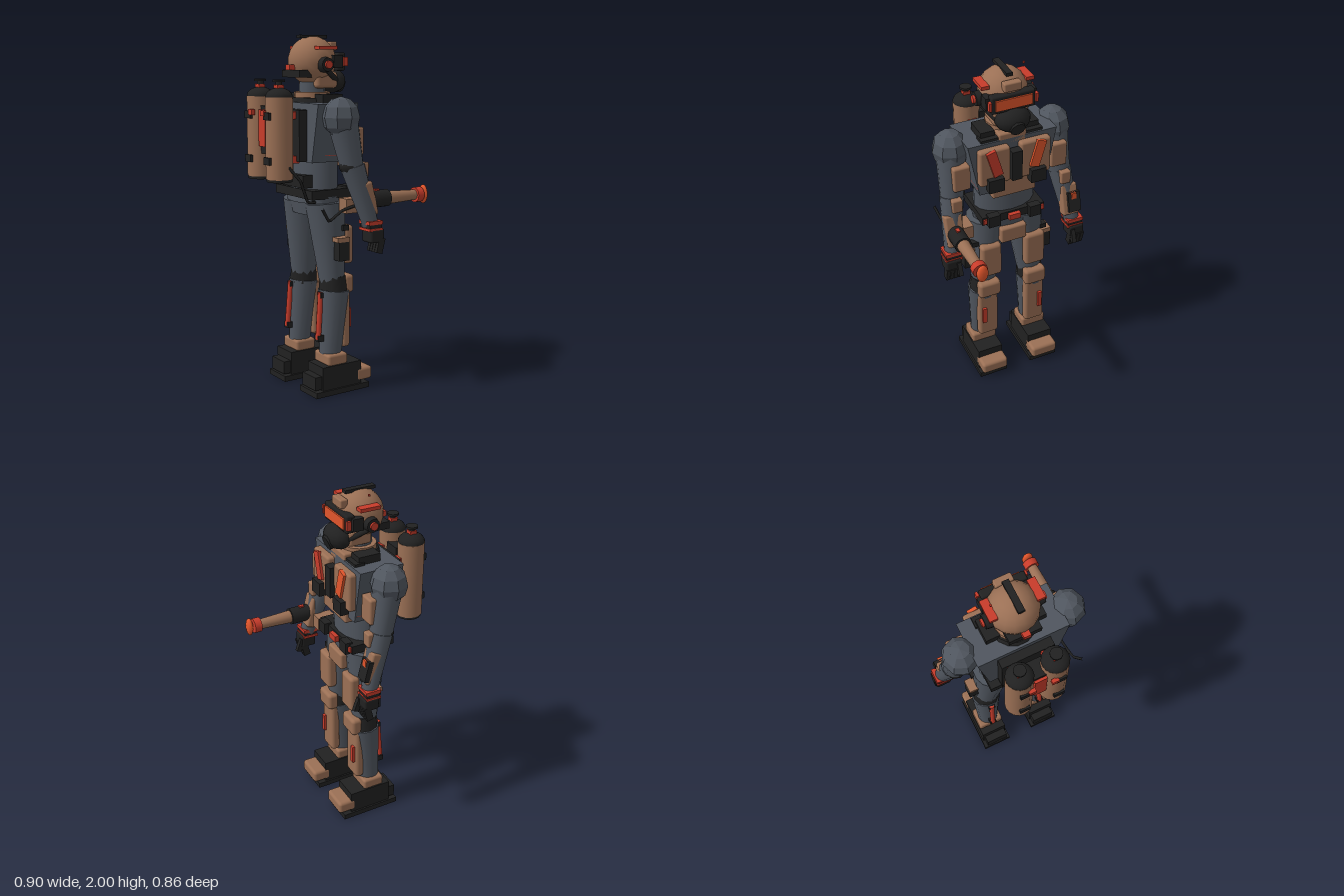
import * as THREE from 'three';
import { RoundedBoxGeometry } from 'three/addons/geometries/RoundedBoxGeometry.js';

const mat = (name, color) => new THREE.MeshStandardMaterial({ name, color });

export function createModel() {
  const root = new THREE.Group();
  root.name = 'armouredSuit';
  const brown = mat('tan armour', 0x9b7055), slate = mat('slate cloth', 0x50565f),
    black = mat('black rubber', 0x212121), red = mat('red trim', 0xc83c2b),
    orange = mat('orange glow', 0xe2552b);
  const V = (x, y, z) => new THREE.Vector3(x, y, z);

  const add = (name, geo, m, pos) => {
    const o = new THREE.Mesh(geo, m);
    o.name = name;
    if (pos) o.position.copy(pos);
    root.add(o);
    return o;
  };
  // Box from its limits; r rounds the edges
  const box = (name, m, x0, x1, y0, y1, z0, z1, r = 0) => {
    const s = [x1 - x0, y1 - y0, Math.abs(z1 - z0)];
    const g = r ? new RoundedBoxGeometry(...s, 2, r) : new THREE.BoxGeometry(...s);
    return add(name, g, m, V((x0 + x1) / 2, (y0 + y1) / 2, (z0 + z1) / 2));
  };
  // Tapered rod between two points
  const rod = (name, m, a, b, ra, rb, n = 12) => {
    const d = b.clone().sub(a);
    const o = add(name, new THREE.CylinderGeometry(rb, ra, d.length(), n), m, a.clone().add(b).multiplyScalar(0.5));
    o.quaternion.setFromUnitVectors(V(0, 1, 0), d.normalize());
    return o;
  };
  const ball = (name, m, p, sx, sy, sz, n = 16, flat = false) => {
    let g = new THREE.SphereGeometry(1, n, Math.max(6, n * 0.7 | 0));
    g.scale(sx, sy, sz);
    if (flat) { g = g.toNonIndexed(); g.computeVertexNormals(); }
    return add(name, g, m, p);
  };
  const hose = (name, m, pts, r) =>
    add(name, new THREE.TubeGeometry(new THREE.CatmullRomCurve3(pts, false, 'catmullrom', 0.15), 20, r, 6), m);

  // Torso: a box narrowed towards the waist
  const tg = new THREE.BoxGeometry(0.26, 0.32, 0.52);
  const tp = tg.attributes.position;
  for (let i = 0; i < tp.count; i++) if (tp.getY(i) < 0) tp.setZ(i, tp.getZ(i) * 0.76);
  tg.computeVertexNormals();
  add('torso', tg, slate, V(-0.09, 1.475, 0));
  const waist = rod('waist', slate, V(-0.09, 1.08, 0), V(-0.09, 1.34, 0), 0.18, 0.18, 16);
  waist.scale.x = 0.68;
  const pelvis = rod('pelvis', slate, V(-0.08, 1.01, 0), V(-0.08, 1.12, 0), 0.17, 0.2, 16);
  pelvis.scale.x = 0.62;
  box('belt', black, -0.215, 0.05, 1.11, 1.16, -0.19, 0.19);
  box('buckle', red, 0.05, 0.075, 1.115, 1.15, -0.035, 0.035);
  box('groinPlate', brown, 0.0, 0.06, 0.95, 1.05, -0.08, 0.08, 0.012);
  box('bellyPlate', brown, 0.0, 0.06, 1.28, 1.42, -0.13, 0.13, 0.01);
  box('chestStrip', black, 0.05, 0.1, 1.4, 1.58, -0.03, 0.03);
  box('collarFront', brown, -0.03, 0.04, 1.6, 1.67, -0.08, 0.08, 0.01);

  // Head, neck and mask
  rod('neck', slate, V(-0.09, 1.6, 0), V(-0.09, 1.75, 0), 0.08, 0.07);
  rod('collar', black, V(-0.09, 1.62, 0), V(-0.09, 1.66, 0), 0.125, 0.11, 14);
  rod('neckRing', brown, V(-0.09, 1.66, 0), V(-0.09, 1.69, 0), 0.1, 0.1, 14);
  ball('helmet', brown, V(-0.09, 1.86, 0), 0.135, 0.135, 0.135, 16);
  box('helmetCrest', black, -0.18, 0, 1.982, 2.0, -0.018, 0.018);
  box('jaw', brown, -0.12, 0.02, 1.71, 1.8, -0.1, 0.1, 0.02);
  box('visorFrame', black, 0.0, 0.05, 1.805, 1.905, -0.125, 0.125, 0.01);
  box('visor', orange, 0.05, 0.059, 1.825, 1.885, -0.105, 0.105);
  box('browLamp', brown, 0.0, 0.045, 1.915, 1.965, -0.05, 0.05, 0.008);
  ball('mask', black, V(0.035, 1.75, 0), 0.075, 0.07, 0.1, 14);
  rod('maskFilter', black, V(0.05, 1.74, 0), V(0.105, 1.72, 0), 0.05, 0.042, 10);
  box('nape', black, -0.23, -0.15, 1.77, 1.81, -0.09, 0.09);
  box('napeClip', red, -0.25, -0.215, 1.81, 1.84, -0.02, 0.02);
  box('headAerial', red, -0.09, -0.08, 1.99, 2.0, -0.123, -0.113);

  // Backpack frame between the tanks
  box('backpack', black, -0.27, -0.2, 1.32, 1.6, -0.15, 0.15);
  box('tankBridge', black, -0.4, -0.3, 1.36, 1.62, -0.05, 0.05);
  box('bridgeStripe', red, -0.415, -0.4, 1.4, 1.6, -0.035, 0.035);
  box('lumbarBar', red, -0.235, -0.14, 1.345, 1.37, -0.14, 0.14);
  box('lumbarPack', black, -0.235, -0.17, 1.17, 1.24, -0.13, 0.13);

  for (const s of [1, -1]) {
    const P = (x, y, z) => V(x, y, z * s);
    const B = (n, m, x0, x1, y0, y1, z0, z1, r) => box(n, m, x0, x1, y0, y1, z0 * s, z1 * s, r);

    // Chest plates, straps and pouches
    B('chestPlate', brown, 0.02, 0.08, 1.39, 1.61, 0.03, 0.21, 0.015);
    const strap = B('chestStrap', s > 0 ? red : orange, 0.075, 0.095, 1.45, 1.61, 0.1, 0.155);
    strap.rotation.x = 0.28 * s;
    B('chestPouch', black, 0.06, 0.11, 1.36, 1.44, 0.08, 0.17);
    B('shoulderBuckle', black, -0.03, 0.03, 1.61, 1.65, 0.08, 0.18);
    B('collarPad', black, -0.13, 0.0, 1.62, 1.68, 0.09, 0.17);
    B('ribTrim', red, -0.16, 0.02, 1.325, 1.34, 0.12, 0.195);
    B('ribTrim', red, -0.14, 0.03, 1.35, 1.36, 0.12, 0.205);
    B('beltPouch', black, 0.03, 0.075, 1.1, 1.17, 0.09, 0.16);
    B('beltClip', red, 0.04, 0.06, 1.12, 1.15, 0.165, 0.185);

    // Headset
    rod('earCup', black, P(-0.09, 1.84, 0.11), P(-0.09, 1.84, 0.162), 0.045, 0.038);
    rod('earCap', red, P(-0.09, 1.84, 0.16), P(-0.09, 1.84, 0.175), 0.022, 0.022, 10);
    B('headRail', red, -0.14, -0.02, 1.92, 1.94, 0.105, 0.15);
    B('templeBlock', black, -0.04, 0.02, 1.82, 1.89, 0.1, 0.145);
    rod('jawStrap', black, P(-0.09, 1.82, 0.14), P(0.02, 1.75, 0.08), 0.016, 0.016, 6);
    B('visorHinge', red, 0.03, 0.055, 1.83, 1.88, 0.125, 0.14);

    // Air tank
    rod('tank', brown, P(-0.365, 1.23, 0.1), P(-0.365, 1.67, 0.1), 0.075, 0.075, 16);
    rod('tankFoot', black, P(-0.365, 1.215, 0.1), P(-0.365, 1.23, 0.1), 0.07, 0.072, 16);
    ball('tankDome', black, P(-0.365, 1.67, 0.1), 0.075, 0.05, 0.075, 16);
    rod('tankValve', black, P(-0.365, 1.7, 0.1), P(-0.365, 1.76, 0.1), 0.018, 0.018, 8);
    rod('valveWheel', black, P(-0.365, 1.75, 0.1), P(-0.365, 1.762, 0.1), 0.034, 0.034, 10);
    B('valveTag', red, -0.385, -0.345, 1.715, 1.735, 0.08, 0.12);
    for (const y of [1.31, 1.55]) {
      B('tankClamp', red, -0.3, -0.25, y, y + 0.04, 0.07, 0.12);
      B('tankLatch', black, -0.448, -0.43, y, y + 0.04, 0.07, 0.13);
    }
    B('tankTab', red, -0.452, -0.43, 1.57, 1.6, 0.045, 0.085);

    // Arm
    ball('shoulder', slate, P(-0.105, 1.565, 0.305), 0.105, 0.11, 0.102, 8, true);
    rod('upperArm', slate, P(-0.095, 1.55, 0.305), P(-0.045, 1.28, 0.33), 0.085, 0.063);
    B('upperArmPlate', brown, -0.04, 0.025, 1.36, 1.51, 0.24, 0.34, 0.012);
    ball('elbow', black, P(-0.06, 1.3, 0.328), 0.062, 0.045, 0.062, 10);
    rod('forearm', slate, P(-0.045, 1.3, 0.33), P(0.045, 0.98, 0.375), 0.068, 0.045);
    const guard = B('forearmPlate', brown, 0.0, 0.06, 1.03, 1.22, 0.305, 0.405, 0.012);
    guard.rotation.z = 0.25;
    B('elbowPlate', brown, -0.02, 0.045, 1.24, 1.32, 0.3, 0.36, 0.008);
    B('wristBand', red, 0.0, 0.09, 0.985, 1.005, 0.33, 0.428);
    B('wristCuff', black, 0.005, 0.085, 0.965, 0.985, 0.335, 0.425);
    B('wristBand', red, 0.0, 0.09, 0.95, 0.965, 0.33, 0.43);
    B('palm', black, 0.01, 0.1, 0.885, 0.96, 0.34, 0.432, 0.012);
    for (let i = 0; i < 4; i++) {
      const f = B('finger', black, 0.055, 0.095, 0.825, 0.91, 0.343 + i * 0.023, 0.363 + i * 0.023);
      f.rotation.z = -0.25;
    }
    const thumb = B('thumb', black, 0.09, 0.12, 0.86, 0.94, 0.345, 0.37);
    thumb.rotation.z = 0.35;

    // Leg
    const thigh = rod('thigh', slate, P(-0.078, 1.08, 0.115), P(-0.055, 0.63, 0.15), 0.114, 0.072, 14);
    thigh.scale.x = 1.02;
    B('thighPlate', brown, 0.0, 0.06, 0.73, 0.95, 0.075, 0.2, 0.02);
    B('thighPouch', black, -0.09, -0.025, 0.77, 0.88, 0.2, 0.275);
    B('pouchFlap', brown, -0.1, -0.02, 0.875, 0.9, 0.2, 0.275);
    B('hipClip', black, -0.04, 0.0, 0.93, 0.96, 0.19, 0.235);
    rod('knee', black, P(-0.052, 0.575, 0.155), P(-0.052, 0.665, 0.15), 0.084, 0.076, 10);
    B('kneePad', brown, -0.01, 0.055, 0.565, 0.67, 0.08, 0.215, 0.02);
    rod('shin', slate, P(-0.08, 0.18, 0.165), P(-0.05, 0.585, 0.158), 0.06, 0.088, 14);
    B('shinPlate', brown, -0.025, 0.03, 0.25, 0.58, 0.09, 0.215, 0.02);
    B('shinStripe', red, 0.028, 0.045, 0.36, 0.47, 0.17, 0.195);
    rod('calfStrut', red, P(-0.16, 0.31, 0.165), P(-0.14, 0.58, 0.16), 0.016, 0.016, 8);
    B('strutMount', black, -0.17, -0.11, 0.3, 0.335, 0.145, 0.185);
    B('strutMount', black, -0.15, -0.1, 0.55, 0.58, 0.14, 0.18);

    // Boot
    B('sole', black, -0.23, 0.13, 0, 0.032, 0.08, 0.257);
    B('heel', black, -0.225, -0.17, 0.04, 0.115, 0.1, 0.235);
    B('boot', black, -0.18, 0.08, 0.03, 0.167, 0.09, 0.247);
    B('toeCap', brown, 0.05, 0.16, 0.045, 0.12, 0.085, 0.25, 0.018);
    B('ankleCuff', brown, -0.14, -0.01, 0.165, 0.23, 0.09, 0.245, 0.015);
  }

  // Forearm launcher on the right arm
  rod('launcherBody', black, V(0.04, 1.115, 0.355), V(0.17, 1.115, 0.355), 0.048, 0.048);
  rod('launcherBarrel', brown, V(0.17, 1.115, 0.355), V(0.365, 1.115, 0.355), 0.037, 0.029);
  rod('muzzleRing', red, V(0.363, 1.115, 0.355), V(0.405, 1.115, 0.355), 0.043, 0.043);
  ball('muzzleTip', orange, V(0.428, 1.115, 0.355), 0.02, 0.054, 0.034, 10);
  box('launcherMount', brown, -0.07, 0.04, 1.04, 1.12, 0.24, 0.31);
  box('launcherSight', red, 0.08, 0.11, 1.155, 1.17, 0.345, 0.365);

  // Wrist panel on the left arm
  const panel = box('wristPanel', black, 0.05, 0.08, 1.06, 1.18, -0.41, -0.335);
  panel.rotation.z = 0.25;
  box('panelLight', orange, 0.055, 0.075, 1.14, 1.18, -0.385, -0.355);

  // Hoses
  hose('tankHose', black, [V(-0.35, 1.3, 0.165), V(-0.29, 1.22, 0.193), V(-0.23, 1.1, 0.17), V(-0.17, 1.09, 0.15)], 0.008);
  hose('launcherHose', black, [V(-0.26, 1.09, 0.36), V(-0.2, 1.015, 0.335), V(-0.1, 1.06, 0.31), V(0.0, 1.09, 0.33)], 0.008);
  return root;
}
